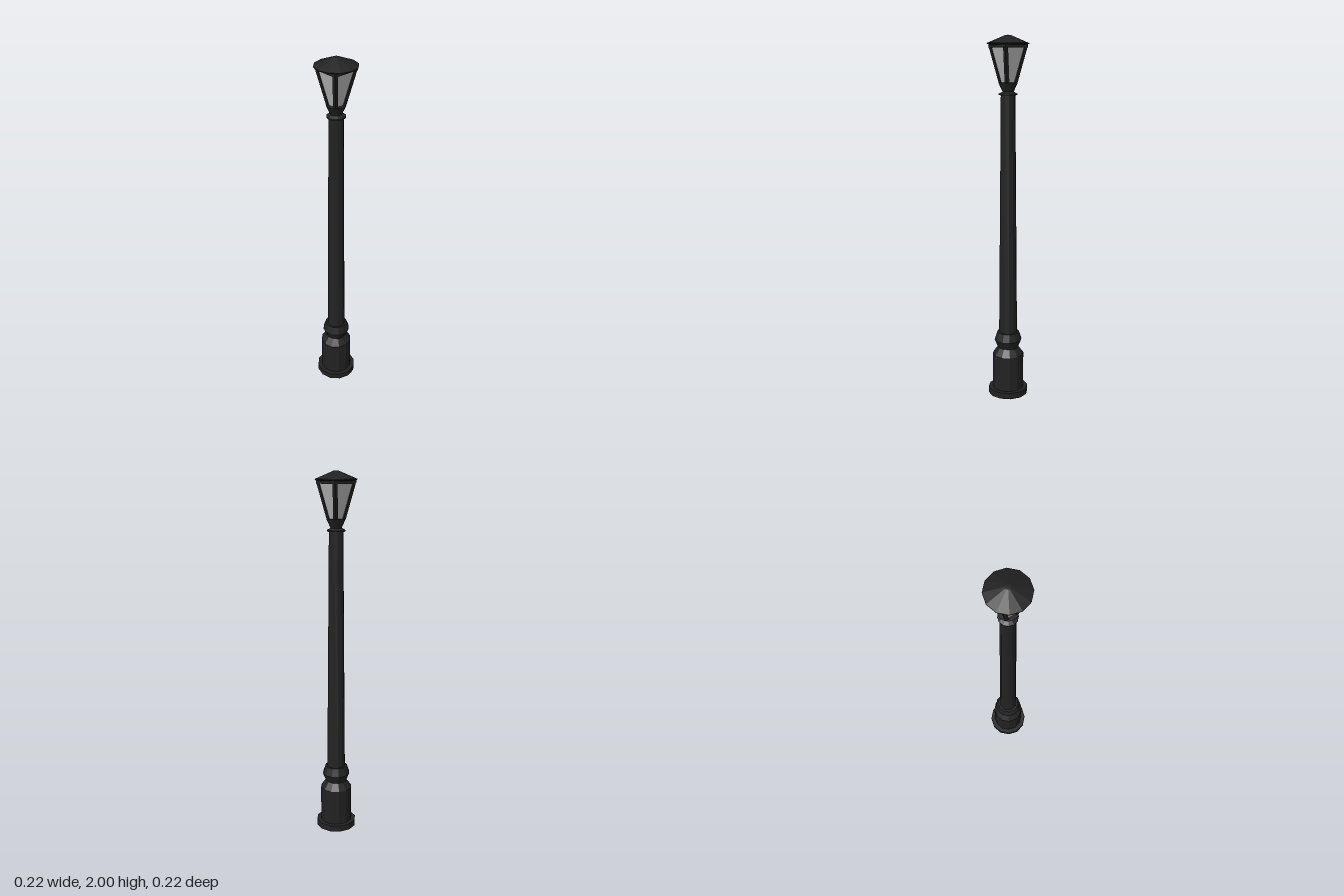
import * as THREE from 'three';

export function createModel() {
  const model = new THREE.Group();
  model.name = 'streetLamp';

  const iron = new THREE.MeshStandardMaterial({ color: 0x222222 });
  iron.name = 'blackIron';
  iron.flatShading = true;
  const glass = new THREE.MeshStandardMaterial({ color: 0xb4b4b4, side: THREE.DoubleSide });
  glass.name = 'paleGlass';

  const add = (name, geometry, material = iron, parent = model) => {
    const mesh = new THREE.Mesh(geometry, material);
    mesh.name = name;
    parent.add(mesh);
    return mesh;
  };
  // Twelve-sided turned part from [radius, height] pairs, bottom to top
  const turned = (name, profile) =>
    add(name, new THREE.LatheGeometry(profile.map(([r, y]) => new THREE.Vector2(r, y)), 12));

  // Post
  turned('basePlate', [[0, 0], [0.112, 0], [0.112, 0.035], [0, 0.035]]);
  turned('pedestal', [[0.088, 0.035], [0.088, 0.235], [0.058, 0.275], [0.077, 0.32], [0.062, 0.365], [0, 0.365]]);
  turned('pole', [[0.051, 0.365], [0.039, 1.69]]);
  turned('collar', [[0, 1.688], [0.05, 1.69], [0.05, 1.697], [0.03, 1.708], [0.052, 1.755], [0, 1.758]]);

  // Lantern: square, widening upward
  const lantern = new THREE.Group();
  lantern.name = 'lantern';
  model.add(lantern);
  const y0 = 1.75, y1 = 1.95, low = 0.026, high = 0.066;

  // Leaning corner bars
  for (const sx of [-1, 1]) for (const sz of [-1, 1]) {
    const bar = new THREE.BoxGeometry(0.018, y1 - y0, 0.018);
    const p = bar.attributes.position;
    for (let i = 0; i < p.count; i++) {
      const c = p.getY(i) < 0 ? low : high;
      p.setXYZ(i, p.getX(i) + sx * c, p.getY(i) + (y0 + y1) / 2, p.getZ(i) + sz * c);
    }
    bar.computeVertexNormals();
    add('cornerBar', bar, iron, lantern);
  }

  // Glass panes between the bars
  for (let k = 0; k < 4; k++) {
    const pane = new THREE.PlaneGeometry(2, 1);
    const p = pane.attributes.position;
    for (let i = 0; i < p.count; i++) {
      const top = p.getY(i) > 0;
      const c = top ? high : low;
      p.setXYZ(i, p.getX(i) * c, top ? y1 : y0, c + 0.003);
    }
    pane.computeVertexNormals();
    pane.rotateY(k * Math.PI / 2);
    add('glassPane', pane, glass, lantern);

    // Top rail above each pane
    const rail = new THREE.BoxGeometry(0.146, 0.018, 0.016);
    rail.translate(0, 1.943, 0.066);
    rail.rotateY(k * Math.PI / 2);
    add('topRail', rail, iron, lantern);
  }

  // Roof
  turned('roof', [[0, 1.948], [0.084, 1.948], [0.112, 1.954], [0.112, 1.958], [0.014, 1.999], [0, 2]]);

  return model;
}
